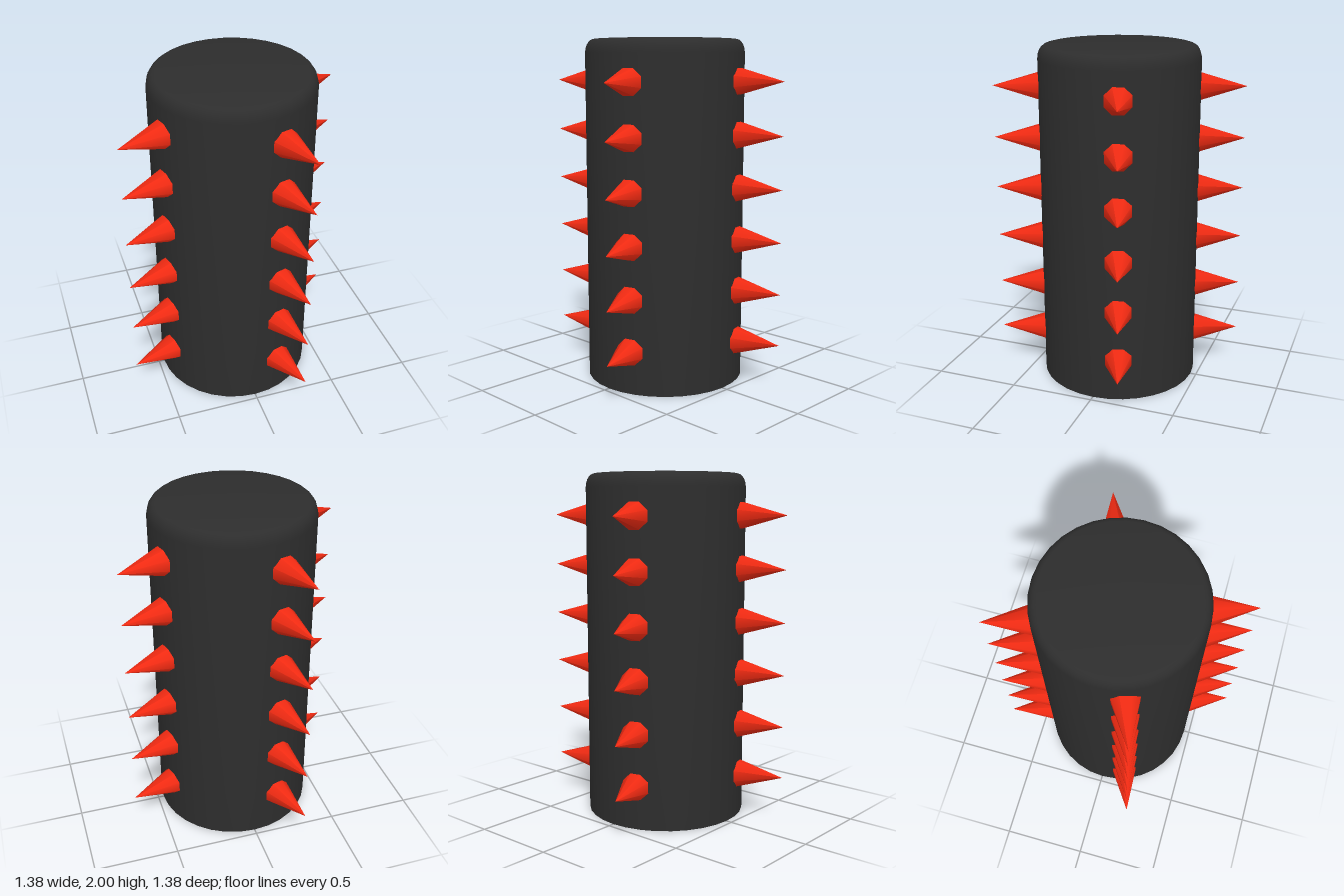
import * as THREE from 'three';
import { toCreasedNormals } from 'three/addons/utils/BufferGeometryUtils.js';

const BODY_RADIUS = 0.465;
const BODY_HEIGHT = 2;
const SIDES = 32;

// Upright cylinder with a flat bottom and a rounded top rim
function createBody(material) {
  const bevelWidth = 0.05, bevelHeight = 0.08, steps = 5;
  const profile = [new THREE.Vector2(0, 0), new THREE.Vector2(BODY_RADIUS, 0)];
  for (let i = 0; i <= steps; i++) {
    const a = (i / steps) * Math.PI / 2;
    profile.push(new THREE.Vector2(
      BODY_RADIUS - bevelWidth * (1 - Math.cos(a)),
      BODY_HEIGHT - bevelHeight * (1 - Math.sin(a))
    ));
  }
  profile.push(new THREE.Vector2(0, BODY_HEIGHT));
  const geometry = toCreasedNormals(new THREE.LatheGeometry(profile, SIDES), Math.PI / 5);
  const body = new THREE.Mesh(geometry, material);
  body.name = 'body';
  return body;
}

// Eight-sided spike pointing along +z, its base sunk into the body
function createSpikeGeometry() {
  const tip = 0.729, base = 0.38, length = tip - base;
  const geometry = new THREE.ConeGeometry(length * 0.303, length, 8, 1, false, Math.PI / 8);
  geometry.rotateX(Math.PI / 2);
  geometry.translate(0, 0, base + length / 2);
  return geometry;
}

export function createModel() {
  const model = new THREE.Group();
  model.name = 'spikedCylinder';

  const dark = new THREE.MeshStandardMaterial({ color: 0x2d2d2d });
  const red = new THREE.MeshStandardMaterial({ color: 0xf02a12 });

  model.add(createBody(dark));

  // Four vertical rows of six spikes
  const spikeGeometry = createSpikeGeometry();
  const firstAngle = Math.atan2(0.235, 0.69);
  for (let row = 0; row < 4; row++) {
    const spikeRow = new THREE.Group();
    spikeRow.name = `spikeRow${row + 1}`;
    spikeRow.rotation.y = firstAngle + row * Math.PI / 2;
    for (let i = 0; i < 6; i++) {
      const spike = new THREE.Mesh(spikeGeometry, red);
      spike.name = 'spike';
      spike.position.y = 0.25 + i * 0.3025;
      spikeRow.add(spike);
    }
    model.add(spikeRow);
  }
  return model;
}
